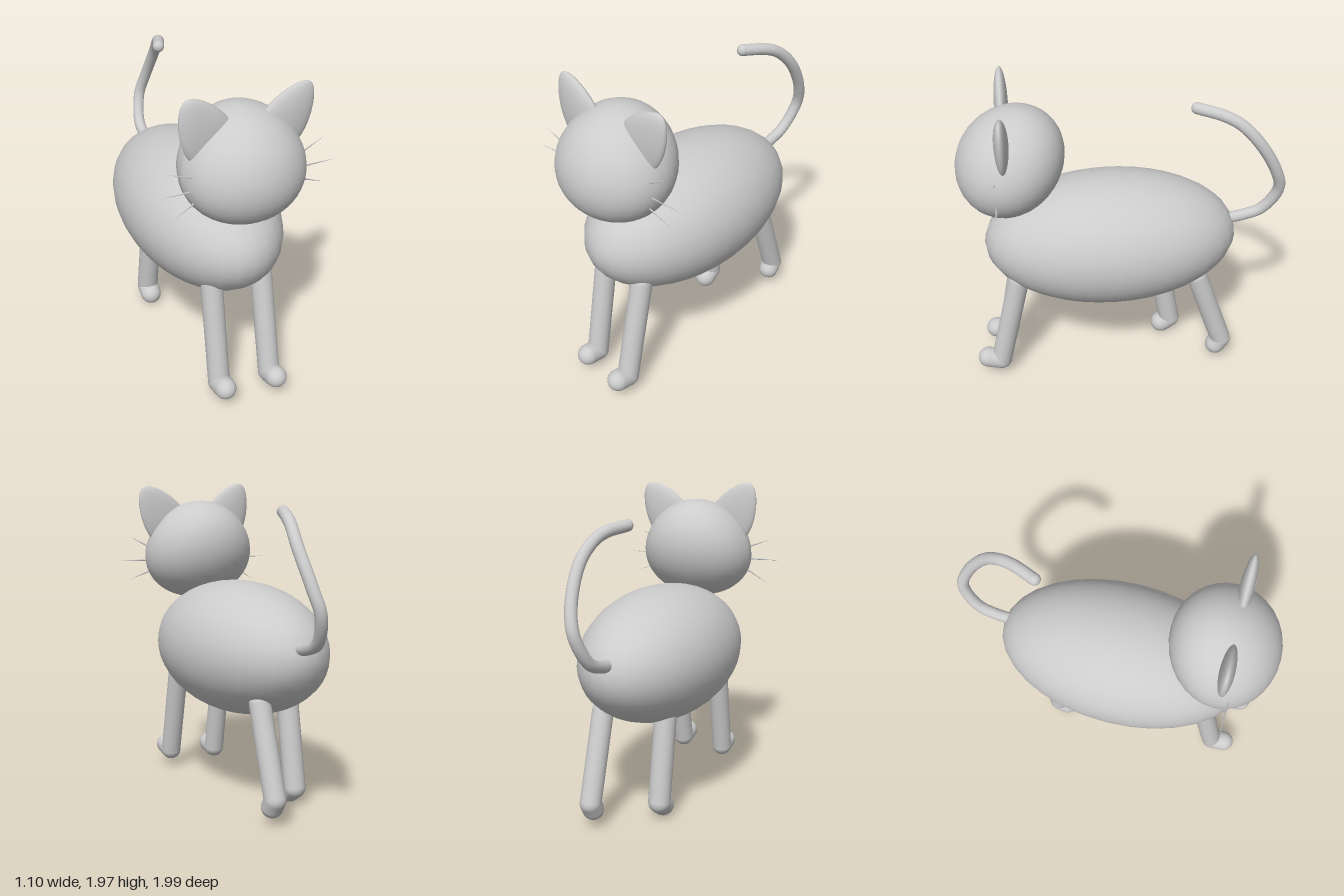
import * as THREE from 'three';

const V = (x, y, z) => new THREE.Vector3(x, y, z);
const UP = V(0, 1, 0);

export function createModel() {
  const model = new THREE.Group();
  const material = new THREE.MeshStandardMaterial({ color: 0xcccccc });

  function add(name, geometry, parent = model) {
    const mesh = new THREE.Mesh(geometry, material);
    mesh.name = name;
    parent.add(mesh);
    return mesh;
  }

  // Ellipsoid whose width changes with height (taper) and whose top leans back (lean)
  function egg(rx, ry, rz, taper = 0, lean = 0) {
    const g = new THREE.SphereGeometry(1, 32, 24);
    const p = g.attributes.position;
    for (let i = 0; i < p.count; i++) {
      const y = p.getY(i);
      p.setXYZ(i, p.getX(i) * rx * (1 - taper * y), y * ry, p.getZ(i) * rz - lean * y * ry);
    }
    g.computeVertexNormals();
    return g;
  }

  // Round-ended rod between two points
  function rod(name, a, b, r, parent) {
    const dir = b.clone().sub(a);
    const mesh = add(name, new THREE.CapsuleGeometry(r, dir.length(), 8, 20), parent);
    mesh.position.copy(a).add(b).multiplyScalar(0.5);
    mesh.quaternion.setFromUnitVectors(UP, dir.normalize());
  }

  // Body and head
  add('body', new THREE.SphereGeometry(1, 32, 24).scale(0.45, 0.415, 0.785)).position.set(0, 0.957, 0.075);
  add('head', egg(0.362, 0.327, 0.322, 0.1, 0.14)).position.set(0, 1.538, 0.668);

  // Ears: flat eggs with the narrow end up, splayed outward
  for (const [name, x, y, tilt] of [['leftEar', 0.255, 1.772, -0.63], ['rightEar', -0.245, 1.78, 0.5]]) {
    const ear = add(name, egg(0.145, 0.22, 0.042, 0.3));
    ear.position.set(x, y, 0.703);
    ear.rotation.z = tilt;
  }

  // Whiskers: thin spikes given as root height, tip x, tip height
  const whiskers = new THREE.Group();
  whiskers.name = 'whiskers';
  model.add(whiskers);
  const spikes = [
    [1.545, 0.465, 1.63], [1.47, 0.55, 1.47], [1.405, 0.48, 1.34],
    [1.54, -0.48, 1.605], [1.47, -0.55, 1.47], [1.41, -0.47, 1.31],
  ];
  for (const [rootY, tipX, tipY] of spikes) {
    const root = V(Math.sign(tipX) * 0.3, rootY, 0.755);
    const dir = V(tipX, tipY, 0.755).sub(root);
    const mesh = add('whisker', new THREE.ConeGeometry(0.008, dir.length(), 8).scale(1, 1, 0.5), whiskers);
    mesh.position.copy(root).addScaledVector(dir, 0.5);
    mesh.quaternion.setFromUnitVectors(UP, dir.normalize());
  }

  // Legs in mid-step: [y, z] of hip, heel and toe
  const legs = [
    ['frontLeftLeg', 0.155, [0.76, 0.665], [0.12, 0.815], [0.14, 0.9], 0.066],
    ['frontRightLeg', -0.16, [0.76, 0.645], [0.11, 0.765], [0.125, 0.85], 0.066],
    ['backLeftLeg', 0.155, [0.7, -0.46], [0.17, -0.64], [0.12, -0.608], 0.066],
    ['backRightLeg', -0.16, [0.72, -0.235], [0.115, -0.34], [0.077, -0.285], 0.069],
  ];
  for (const [name, x, hip, heel, toe, r] of legs) {
    const leg = new THREE.Group();
    leg.name = name;
    model.add(leg);
    rod('shank', V(x, ...hip), V(x, ...heel), r, leg);
    rod('paw', V(x, ...heel), V(x, ...toe), r, leg);
  }

  // Tail: curved tube with rounded ends
  const tail = new THREE.Group();
  tail.name = 'tail';
  model.add(tail);
  const path = [
    V(0.015, 1.04, -0.66), V(0.015, 1.055, -0.75), V(0.025, 1.105, -0.87), V(0.065, 1.27, -0.957),
    V(0.1, 1.42, -0.92), V(0.115, 1.63, -0.795), V(0.09, 1.74, -0.685), V(0.06, 1.785, -0.59), V(-0.005, 1.81, -0.44),
  ];
  const r = 0.036;
  add('tailTube', new THREE.TubeGeometry(new THREE.CatmullRomCurve3(path), 64, r, 16), tail);
  for (const end of [path[0], path[path.length - 1]]) {
    add('tailEnd', new THREE.SphereGeometry(r, 16, 12), tail).position.copy(end);
  }

  return model;
}
